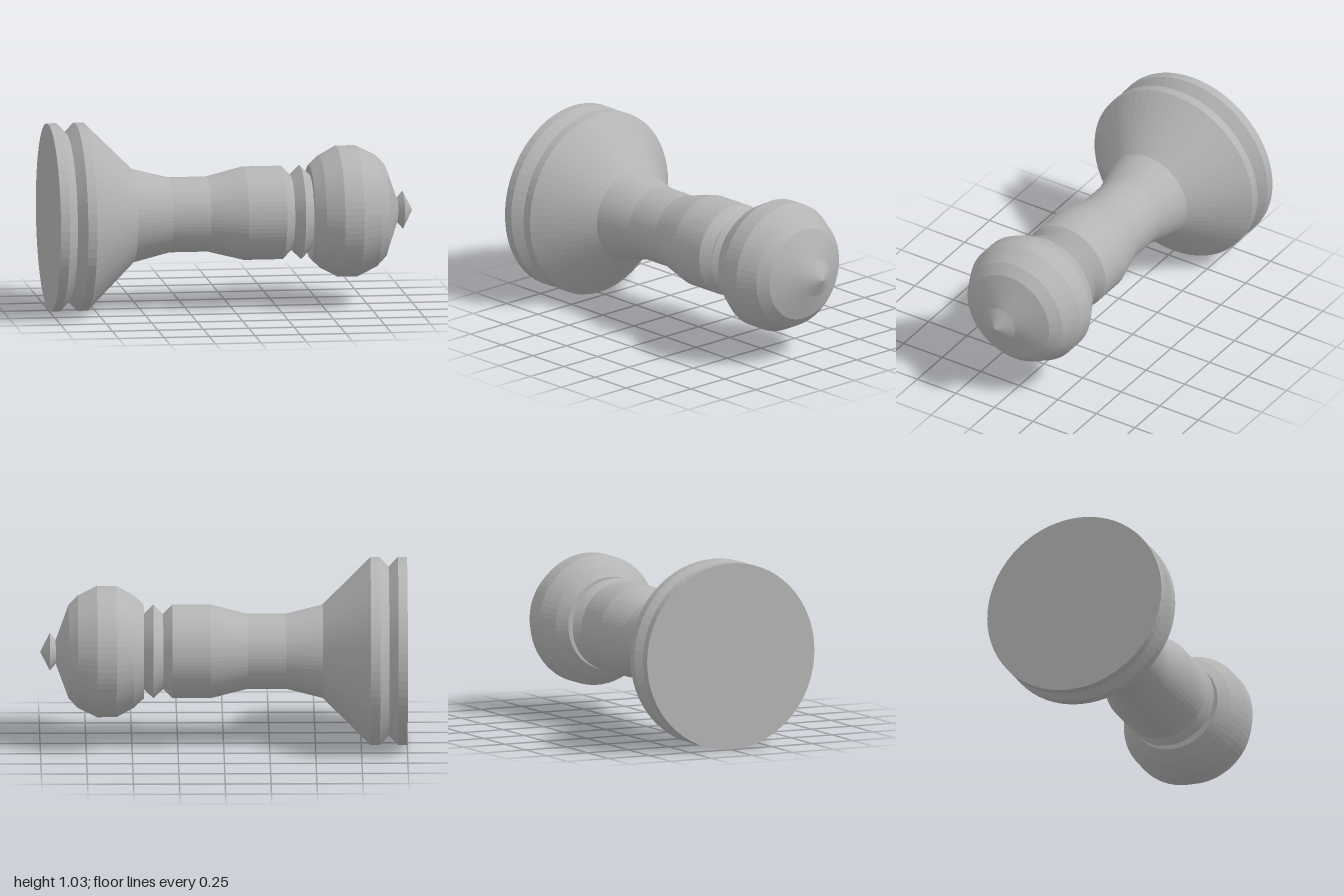
import * as THREE from 'three';

const SIDES = 64;
const AXIS_HEIGHT = 0.513;

export function createModel() {
  const grey = new THREE.MeshStandardMaterial({ color: 0xb4b4b4, flatShading: true });
  grey.name = 'grey';

  const model = new THREE.Group();
  model.name = 'turnedPiece';

  // Each part is a turned profile of [position along x, radius]
  const turn = (name, profile) => {
    const points = profile.map(([x, r]) => new THREE.Vector2(r, x));
    const geometry = new THREE.LatheGeometry(points, SIDES);
    geometry.rotateZ(-Math.PI / 2);
    const mesh = new THREE.Mesh(geometry, grey);
    mesh.name = name;
    mesh.position.y = AXIS_HEIGHT;
    model.add(mesh);
  };

  // Grooved disc and flared skirt
  turn('base', [
    [-1, 0], [-1, 0.513], [-0.95, 0.513], [-0.9, 0.46], [-0.85, 0.513],
    [-0.8, 0.513], [-0.54, 0.255],
  ]);

  // Waisted shaft, chamfered at its end
  turn('shaft', [
    [-0.54, 0.255], [-0.34, 0.205], [-0.13, 0.205], [0.07, 0.255],
    [0.28, 0.255], [0.33, 0.205],
  ]);

  // Sharp ring between shaft and head
  turn('collar', [[0.33, 0.205], [0.383, 0.255], [0.435, 0.205]]);

  // Rounded head with a flat underside and conical cap
  turn('head', [
    [0.435, 0.205], [0.435, 0.255], [0.49, 0.307], [0.585, 0.358],
    [0.69, 0.358], [0.795, 0.307], [0.845, 0.255], [0.915, 0.065],
  ]);

  // Pointed tip
  turn('finial', [[0.915, 0.065], [0.947, 0.102], [1, 0]]);

  return model;
}
